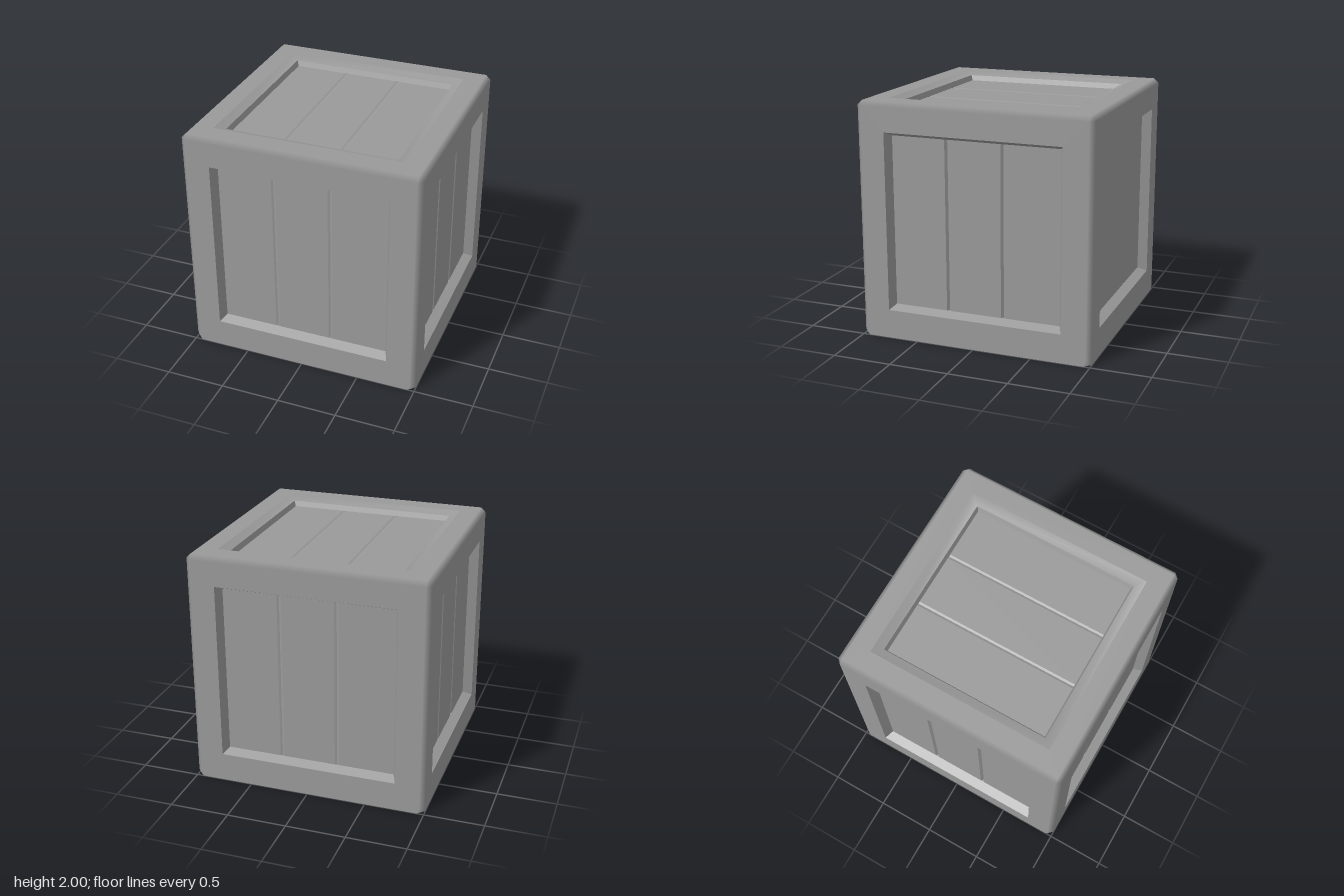
import * as THREE from 'three';
import { mergeVertices } from 'three/addons/utils/BufferGeometryUtils.js';

const material = new THREE.MeshStandardMaterial({ color: 0x9a9a9a, side: THREE.DoubleSide });

// Unshared triangles from a list of faces, corners counter-clockwise
function facesGeometry(faces) {
  const positions = [];
  for (const f of faces) {
    for (let i = 1; i < f.length - 1; i++) positions.push(...f[0], ...f[i], ...f[i + 1]);
  }
  const geometry = new THREE.BufferGeometry();
  geometry.setAttribute('position', new THREE.Float32BufferAttribute(positions, 3));
  return geometry;
}

function namedMesh(name, geometry) {
  const mesh = new THREE.Mesh(geometry, material);
  mesh.name = name;
  return mesh;
}

const square = (h, z) => [[-h, -h, z], [h, -h, z], [h, h, z], [-h, h, z]];

// Sloping square ring between an outer and an inner square
function ringMesh(name, outerHalf, outerZ, innerHalf, innerZ, smooth = false) {
  const a = square(outerHalf, outerZ), b = square(innerHalf, innerZ);
  let geometry = facesGeometry(a.map((p, i) => {
    const j = (i + 1) % 4;
    return [p, a[j], b[j], b[i]];
  }));
  if (smooth) geometry = mergeVertices(geometry);
  geometry.computeVertexNormals();
  return namedMesh(name, geometry);
}

// Flat frame with a square opening
function frameMesh(name, outline, opening) {
  const toVector = ([x, y]) => new THREE.Vector2(x, y);
  const shape = new THREE.Shape(outline.map(toVector));
  shape.holes.push(new THREE.Path(square(opening, 0).reverse().map(toVector)));
  const geometry = new THREE.ShapeGeometry(shape);
  geometry.translate(0, 0, 1);
  return namedMesh(name, geometry);
}

// Three planks separated by V-shaped grooves
function planksMesh(half, z, grooveDepth) {
  const g = 0.018;
  const profile = [[-half, z]];
  const faces = [];
  for (const x of [-0.242, 0.236]) {
    const groove = [[x - g, z], [x, z - grooveDepth], [x + g, z]];
    profile.push(...groove);
    // Close the groove ends
    const end = (y) => groove.map(([u, w]) => [u, y, w]);
    faces.push(end(half), end(-half).reverse());
  }
  profile.push([half, z]);
  for (let i = 0; i < profile.length - 1; i++) {
    const [x0, z0] = profile[i], [x1, z1] = profile[i + 1];
    faces.push([[x0, -half, z0], [x1, -half, z1], [x1, half, z1], [x0, half, z0]]);
  }
  const geometry = facesGeometry(faces);
  geometry.computeVertexNormals();
  return namedMesh('planks', geometry);
}

const E = 0.96; // where the edge chamfers begin
const F = 0.942; // where they begin at the foot, slightly flared

// Chamfers of one wall, shaded round by taking the normal of the side each corner lies on
function chamferMesh() {
  const geometry = facesGeometry([
    [[F, -1, 1], [1, -1, F], [1, -E, E], [E, -E, 1]],
    [[E, -E, 1], [1, -E, E], [1, E, E], [E, E, 1]],
    [[-E, E, 1], [E, E, 1], [E, 1, E], [-E, 1, E]],
    [[E, E, 1], [1, E, E], [E, 1, E]],
  ]);
  const p = geometry.attributes.position;
  const normals = [];
  for (let i = 0; i < p.count; i++) {
    if (p.getX(i) === 1) normals.push(1, 0, 0);
    else if (p.getY(i) === 1) normals.push(0, 1, 0);
    else normals.push(0, 0, 1);
  }
  geometry.setAttribute('normal', new THREE.Float32BufferAttribute(normals, 3));
  return namedMesh('edgeChamfers', geometry);
}

// One wall facing +z with its right-hand and upper chamfers
function sideWall(grooveDepth) {
  const wall = new THREE.Group();
  wall.name = 'sideWall';
  wall.add(
    frameMesh('sideFrame', [[-F, -1], [F, -1], [E, -E], [E, E], [-E, E], [-E, -E]], 0.755),
    ringMesh('recessEdge', 0.755, 1, 0.72, 0.92),
    planksMesh(0.72, 0.92, grooveDepth),
    chamferMesh(),
  );
  return wall;
}

export function createModel() {
  const crate = new THREE.Group();
  crate.name = 'crate';
  const body = new THREE.Group();
  body.name = 'body';
  body.position.y = 1;

  // Four walls, the crate is open underneath; grooves are deeper on left and right
  for (let i = 0; i < 4; i++) {
    const wall = sideWall(i % 2 ? 0.02 : 0.007);
    wall.rotation.y = i * Math.PI / 2;
    body.add(wall);
  }

  // Lid with a gently dished border around the planks
  const lid = new THREE.Group();
  lid.name = 'lid';
  lid.add(
    frameMesh('lidFrame', square(E, 0), 0.8),
    ringMesh('lidSlope', 0.8, 1, 0.725, 0.97, true),
    ringMesh('lidRecessEdge', 0.725, 0.97, 0.708, 0.925),
    planksMesh(0.708, 0.925, 0.007),
  );
  lid.rotation.x = -Math.PI / 2;
  body.add(lid);

  crate.add(body);
  return crate;
}
